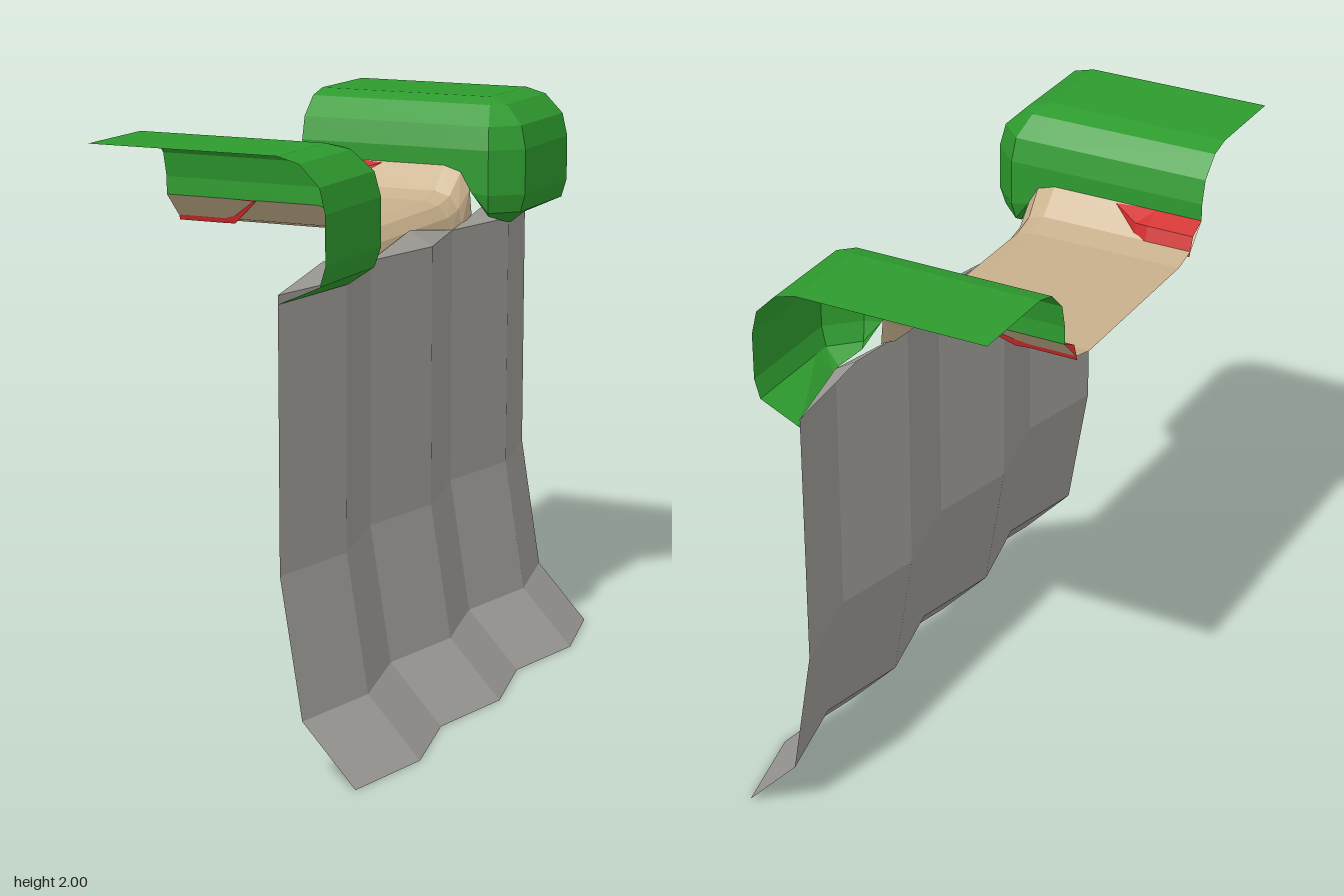
import * as THREE from 'three';

const material = (color) =>
  new THREE.MeshStandardMaterial({ color, flatShading: true, side: THREE.DoubleSide });

// Faceted open surface through rows of [x, y, z] points; collapsed triangles are skipped
function sheet(name, rows, mat) {
  const pos = [];
  const tri = (...pts) => {
    const [a, b, c] = pts.map((p) => new THREE.Vector3(...p));
    if (b.clone().sub(a).cross(c.clone().sub(a)).length() < 1e-6) return;
    pos.push(...pts.flat());
  };
  for (let i = 0; i < rows.length - 1; i++) {
    for (let j = 0; j < rows[i].length - 1; j++) {
      const a = rows[i][j], b = rows[i + 1][j], c = rows[i + 1][j + 1], d = rows[i][j + 1];
      tri(a, b, c);
      tri(a, c, d);
    }
  }
  const geo = new THREE.BufferGeometry();
  geo.setAttribute('position', new THREE.Float32BufferAttribute(pos, 3));
  geo.computeVertexNormals();
  const mesh = new THREE.Mesh(geo, mat);
  mesh.name = name;
  return mesh;
}

const lerp = THREE.MathUtils.lerp;

// Pleated rock face, flaring out at the foot, with small ledges on top of the ridges
function cliff(mat) {
  const profile = [[0.43, 0], [0.243, 0.2], [0.167, 0.67], [0.167, 1.57]];
  const columns = [-3, -2, -1, 0, 1, 2, 3];
  const isRidge = (k) => k % 2 === 0;
  const rows = profile.map(([x, y]) =>
    columns.map((k) => [x + (isRidge(k) ? 0.073 : 0), y, k / 3]));
  rows.push(columns.map((k) => [isRidge(k) ? 0.157 : 0.167, isRidge(k) ? 1.62 : 1.57, k / 3]));
  return sheet('cliffFace', rows, mat);
}

// Trough-shaped path that bends down over the cliff edge
function path(mat) {
  const middle = [[-0.5, 1.667], [0.06, 1.667], [0.115, 1.652], [0.15, 1.612], [0.165, 1.565]];
  const edge = [[-0.5, 1.77], [0.06, 1.77], [0.125, 1.75], [0.16, 1.69], [0.168, 1.6]];
  const section = [[-0.5, 1], [-0.42, 0.22], [-0.33, 0], [0.33, 0], [0.42, 0.22], [0.5, 1]];
  const rows = section.map(([z, f]) =>
    middle.map(([x, y], i) => [lerp(x, edge[i][0], f), lerp(y, edge[i][1], f), z]));
  return sheet('path', rows, mat);
}

// Rounded grass bank: a profile swept along the path, round the corner and along the cliff
function grass(name, mat) {
  const profile = [[1, 2], [0.54, 1.98], [0.12, 1.912], [0, 1.83], [0, 1.67], [0.12, 1.605]];
  // inner x, inner z, outer x, outer z, lower edge y, lower edge inset
  const stations = [
    [-0.5, 0.667, -0.5, 0.5, 1.77, 0],
    [0.06, 0.667, 0.06, 0.5, 1.77, 0],
    [0.125, 0.667, 0.125, 0.5, 1.75, 0],
    [0.165, 0.667, 0.165, 0.5, 1.68, 0],
    [0.167, 0.667, 0.23, 0.5, 1.59, 0.28],
    [0.167, 0.667, 0.33, 0.6, 1.56, 0.5],
    [0.167, 0.667, 0.33, 0.667, 1.555, 0.5],
    [0.167, 1, 0.33, 1, 1.54, 1],
  ];
  const rows = stations.map(([ix, iz, ox, oz, bottom, inset]) => [
    [ix, 2, 1],
    ...[...profile, [inset, bottom]].map(([t, y]) => {
      const s = y < bottom ? inset : t;
      return [lerp(ox, ix, s), Math.max(y, bottom), lerp(oz, iz, s)];
    }),
  ]);
  return sheet(name, rows, mat);
}

// Tapered red strip lying on the rising side of the path
function strip(name, mat) {
  const rows = [
    [[-0.5, 1.77, 0.5], [-0.5, 1.738, 0.435], [-0.5, 1.672, 0.412]],
    [[-0.33, 1.77, 0.5], [-0.33, 1.738, 0.435], [-0.33, 1.672, 0.412]],
    [[-0.27, 1.77, 0.5], [-0.28, 1.736, 0.442], [-0.285, 1.675, 0.424]],
    [[-0.17, 1.77, 0.5], [-0.17, 1.768, 0.5], [-0.17, 1.765, 0.5]],
  ];
  return sheet(name, rows, mat);
}

export function createModel() {
  const group = new THREE.Group();
  group.name = 'cliffPathSection';
  const rock = material(0x9c9a95);
  const soil = material(0xc8b08c);
  const green = material(0x2e9a2e);
  const red = material(0xd02a2a);

  group.add(cliff(rock), path(soil));
  // Both banks, mirrored front to back
  for (const [side, sign] of [['front', 1], ['back', -1]]) {
    const bank = new THREE.Group();
    bank.name = side + 'Bank';
    bank.add(grass(side + 'Grass', green), strip(side + 'RedStrip', red));
    bank.scale.z = sign;
    group.add(bank);
  }
  return group;
}
